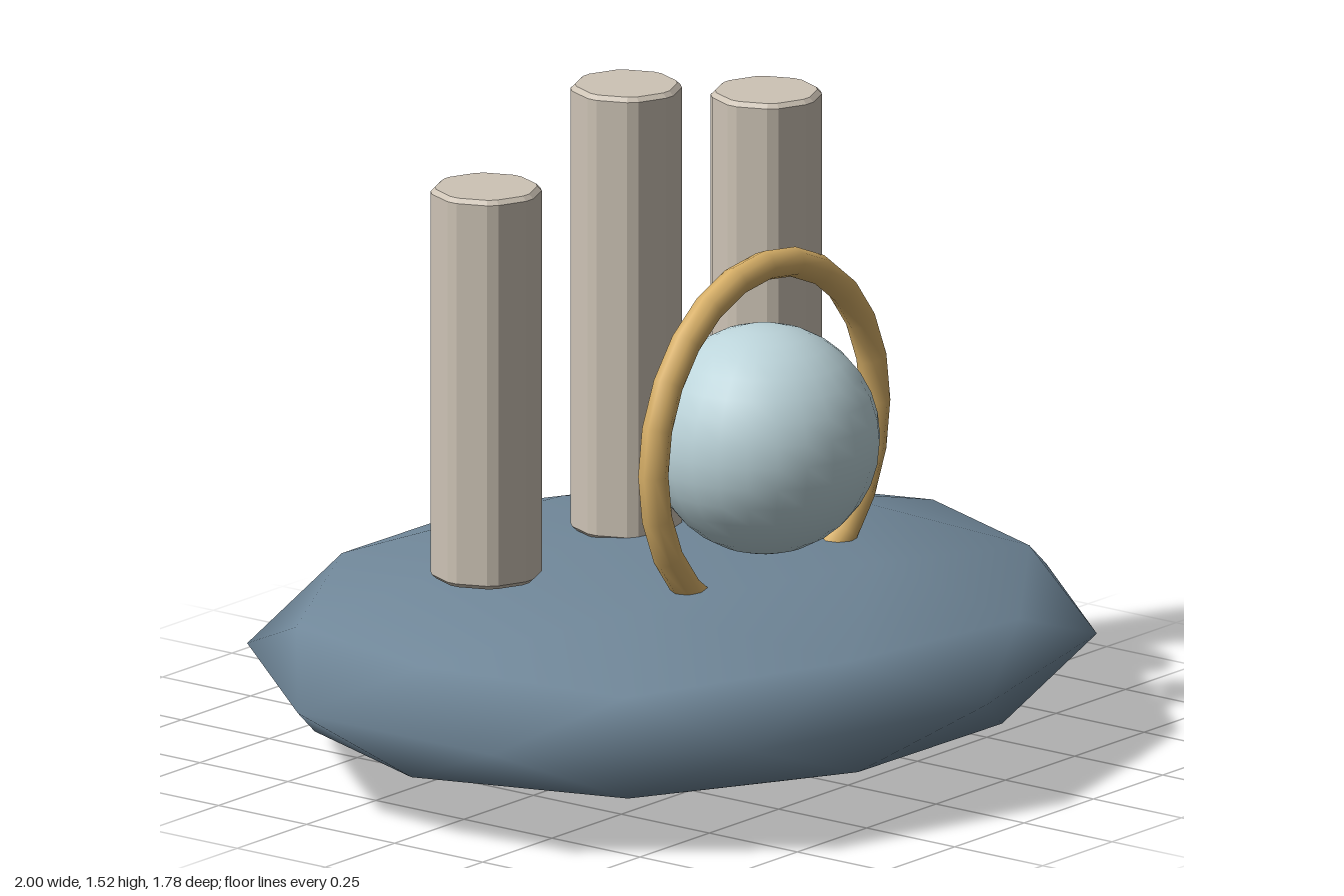
import * as THREE from 'three';

const mat = (name, color) => {
  const m = new THREE.MeshStandardMaterial({ color });
  m.name = name;
  return m;
};

export function createModel() {
  const model = new THREE.Group();
  const slate = mat('slateBlue', 0x708799);
  const stone = mat('paleStone', 0xcdc3b5);
  const ice = mat('iceBlue', 0xbcd4da);
  const gold = mat('gold', 0xd8b068);

  const add = (name, geometry, material, x, y, z) => {
    const mesh = new THREE.Mesh(geometry, material);
    mesh.name = name;
    mesh.position.set(x, y, z);
    model.add(mesh);
    return mesh;
  };

  // Flattened low-poly boulder, turned so that one vertex is its pole
  const rock = new THREE.IcosahedronGeometry(1, 1);
  rock.rotateZ(-Math.atan2(1, (1 + Math.sqrt(5)) / 2));
  rock.scale(1.051, 0.253, 0.89);
  add('base', rock, slate, 0, 0.253, 0);

  // Eight-sided pillar with every edge slightly bevelled
  const bevel = 0.01;
  const pillarGeometry = (height) => {
    const r = 0.128 - bevel;
    const corner = (i) => new THREE.Vector2(Math.cos(i * Math.PI / 4) * r, Math.sin(i * Math.PI / 4) * r);
    const points = [];
    for (let i = 0; i < 8; i++) {
      const c = corner(i);
      points.push(c.clone().lerp(corner(i - 1), 0.13), c.clone().lerp(corner(i + 1), 0.13));
    }
    const g = new THREE.ExtrudeGeometry(new THREE.Shape(points), {
      depth: height - 2 * bevel, bevelEnabled: true,
      bevelThickness: bevel, bevelSize: bevel, bevelSegments: 1,
    });
    g.translate(0, 0, bevel);
    return g.rotateX(-Math.PI / 2);
  };
  const bottom = 0.488;
  for (const [name, x, top] of [['rightPillar', -0.505, 1.39], ['middlePillar', 0, 1.517], ['leftPillar', 0.505, 1.39]]) {
    add(name, pillarGeometry(top - bottom), stone, x, bottom, -0.13);
  }

  // Orb resting on the boulder, inside a ring sunk into it
  add('orb', new THREE.SphereGeometry(0.26, 24, 16), ice, 0, 0.763, 0.262);
  add('ring', new THREE.TorusGeometry(0.4, 0.034, 8, 24), gold, 0, 0.763, 0.262);

  return model;
}
